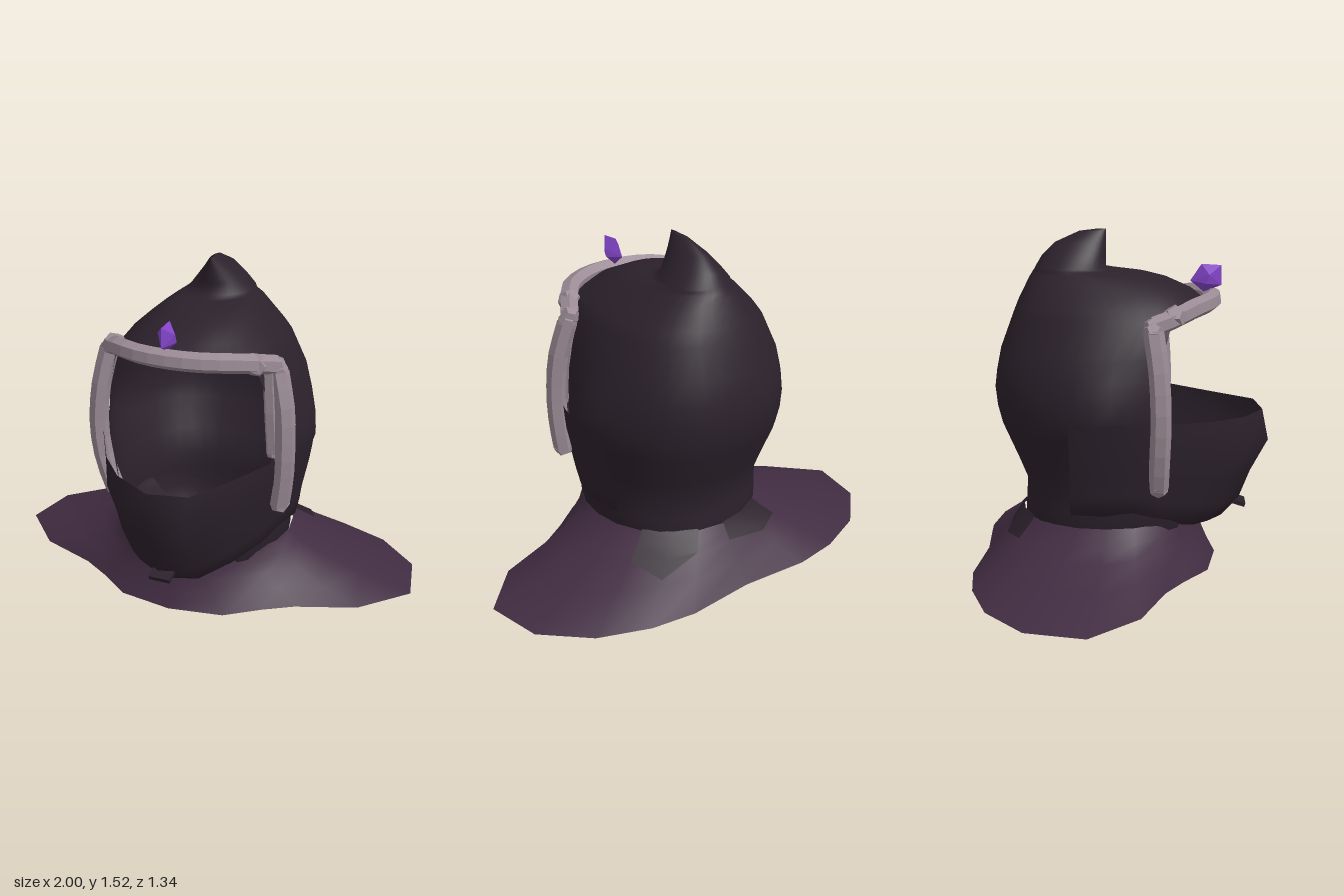
import * as THREE from 'three';
import { ConvexGeometry } from 'three/addons/geometries/ConvexGeometry.js';

const material = (name, color) => {
  const m = new THREE.MeshStandardMaterial({ color, side: THREE.DoubleSide });
  m.name = name;
  return m;
};

// Skin a surface over rows of [x, y, z] points; skip(row, column) leaves holes.
function loft(rows, closed, skip = () => false) {
  const n = rows[0].length, index = [];
  for (let r = 0; r < rows.length - 1; r++) {
    for (let c = 0; c < (closed ? n : n - 1); c++) {
      if (skip(r, c)) continue;
      const a = r * n + c, b = r * n + (c + 1) % n;
      index.push(a, a + n, b, b, a + n, b + n);
    }
  }
  const g = new THREE.BufferGeometry();
  g.setAttribute('position', new THREE.Float32BufferAttribute(rows.flat(2), 3));
  g.setIndex(index);
  g.computeVertexNormals();
  return g;
}

const faceted = (g) => {
  const f = g.index ? g.toNonIndexed() : g;
  f.computeVertexNormals();
  return f;
};

export function createModel() {
  const model = new THREE.Group();
  const cloth = material('dark cloth', 0x2b212b);
  const purple = material('purple cloth', 0x412c41);
  const metal = material('dull metal', 0x9a8a94);
  const crystal = material('violet crystal', 0x8344c8);
  const add = (name, geometry, mat, parent = model) => {
    const mesh = new THREE.Mesh(geometry, mat);
    mesh.name = name;
    parent.add(mesh);
    return mesh;
  };

  // Hood: rings of [y, front z, back z, half width], with a folded peak
  const rings = [
    [1.52, -0.08, -0.12, 0.004], [1.51, -0.08, -0.2, 0.018], [1.46, -0.08, -0.31, 0.06],
    [1.4, -0.08, -0.37, 0.11], [1.35, -0.08, -0.4, 0.15], [1.34, -0.02, -0.405, 0.16],
    [1.325, 0.11, -0.415, 0.185], [1.3, 0.2, -0.43, 0.22], [1.25, 0.31, -0.455, 0.28],
    [1.2, 0.37, -0.48, 0.335], [1.15, 0.38, -0.5, 0.375], [1.0, 0.34, -0.555, 0.43],
    [0.9, 0.34, -0.575, 0.45], [0.82, 0.34, -0.585, 0.455], [0.73, 0.34, -0.575, 0.455],
    [0.65, 0.34, -0.555, 0.445], [0.5, 0.33, -0.49, 0.415], [0.39, 0.32, -0.445, 0.4],
    [0.3, 0.31, -0.45, 0.395], [0.2, 0.3, -0.455, 0.39], [0.12, 0.27, -0.44, 0.35],
  ];
  const columns = 36;
  const hoodRows = rings.map(([y, zf, zb, hw]) =>
    Array.from({ length: columns }, (_, i) => {
      const a = (i / columns) * Math.PI * 2, sin = Math.sin(a), cos = Math.cos(a);
      const z = (zf + zb) / 2 + (zf - zb) / 2 * cos;
      // Fuller cheeks in front, ears pushing the cloth outward
      const power = y > 1.3 ? 1 : cos > 0 && y < 1.18 ? 0.55 : 0.8;
      const ear = Math.abs(sin) > 0.5 ? 0.05 * Math.exp(-(((y - 0.75) / 0.14) ** 2) - ((z + 0.1) / 0.15) ** 2) : 0;
      // The brow edge rises toward the front
      const lift = y === 1.15 ? 0.2 * Math.max(0, z - 0.15) : 0;
      return [Math.sign(sin) * (hw * Math.abs(sin) ** power + ear), y + lift, z];
    }));
  const faceOpening = (r, c) => rings[r][0] < 1.16 && rings[r][0] > 0.35 && (c < 5 || c >= columns - 5);
  add('hood', loft(hoodRows, true, faceOpening), cloth);

  // Mask over the lower face: plan outline swept down to the chin
  const plan = [
    [-0.475, -0.22], [-0.505, -0.08], [-0.47, 0.08], [-0.41, 0.22], [-0.3, 0.42], [-0.18, 0.56], [0, 0.66],
    [0.18, 0.63], [0.3, 0.43], [0.41, 0.22], [0.47, 0.08], [0.505, -0.08], [0.475, -0.22],
  ];
  // [front y, side y, tip z, width scale]
  const maskLevels = [
    [0.695, 0.735, 0.64, 1], [0.55, 0.62, 0.67, 0.97], [0.4, 0.5, 0.59, 0.92],
    [0.27, 0.4, 0.54, 0.88], [0.18, 0.33, 0.46, 0.86], [0.145, 0.27, 0.35, 0.72],
  ];
  const maskRows = maskLevels.map(([yf, ys, tip, w]) => plan.map(([x, z], i) => {
    const d = Math.abs(i - 6);
    const s = Math.min(1, Math.max(0.15 * d, (d - 1) / 3));
    return [x * w, yf + (ys - yf) * s, z > 0 ? z * tip / 0.66 : z];
  }));
  add('mask', loft(maskRows, false), cloth);
  // Closed underside of the chin
  const chinEdge = maskRows[5];
  add('chinUnderside', loft([chinEdge, chinEdge.map(([x, , z]) => [x * 0.3, 0.14, z * 0.3])], false), cloth);
  const tab = add('chinTab', new THREE.BoxGeometry(0.1, 0.02, 0.08), cloth);
  tab.position.set(0.02, 0.25, 0.53);
  tab.rotation.x = 0.3;

  // Shoulder cape: ragged rim rising to a round collar
  const half = [
    [0, -0.645], [0.32, -0.67], [0.53, -0.64], [0.76, -0.55], [0.95, -0.37], [1, -0.11],
    [0.8, 0.1], [0.53, 0.2], [0.4, 0.28], [0.25, 0.39], [0, 0.43],
  ];
  const rim = [...half, ...half.slice(1, -1).reverse().map(([x, z]) => [-x, z])];
  const slope = [[0, 0], [0.42, 0.07], [0.73, 0.135], [0.9, 0.19], [1, 0.245]];
  const capePoint = (i, t, y) => {
    const [x, z] = rim[i], a = (i / rim.length) * Math.PI * 2;
    const cx = 0.41 * Math.sin(a), cz = -0.065 - 0.405 * Math.cos(a);
    // The back slopes straight down
    const back = Math.max(0, Math.cos(a));
    return [x + (cx - x) * t, y + (0.235 * t - y) * 0.8 * back, z + (cz - z) * t];
  };
  add('cape', loft(slope.map(([t, y]) => rim.map((_, i) => capePoint(i, t, y))), true), purple);

  // Loose hood hems lying on the back of the cape
  for (const [center, reach] of [[2, 0.5], [19, 0.65]]) {
    const hem = [[1, 0.245], [0.9, 0.19], [0.73, 0.135], [reach, 0.135 - (0.73 - reach) * 0.21]];
    const rows = hem.map(([t, y], r) => [-1, 0, 1].map((k) => {
      const [ht, hy] = r === 3 && k !== 0 ? hem[2] : [t, y];
      const p = capePoint((center + k) % rim.length, ht, hy);
      return [p[0], p[1] + 0.008, p[2]];
    }));
    add('hoodHem', loft(rows, false), cloth);
  }

  // Metal circlet: faceted bars with knuckles at the corners
  const circlet = new THREE.Group();
  circlet.name = 'circlet';
  model.add(circlet);
  const bar = (name, points, segments, radius) => {
    const curve = new THREE.CatmullRomCurve3(points.map((p) => new THREE.Vector3(...p)));
    add(name, faceted(new THREE.TubeGeometry(curve, segments, radius, 6)), metal, circlet);
    for (const p of [points[0], points[points.length - 1]]) {
      const cap = add(name + 'End', faceted(new THREE.DodecahedronGeometry(radius)), metal, circlet);
      cap.position.set(...p);
    }
  };
  bar('browBand', [
    [-0.38, 1.14, 0.14], [-0.34, 1.165, 0.22], [-0.27, 1.2, 0.31], [-0.14, 1.21, 0.38], [0, 1.212, 0.4],
    [0.14, 1.21, 0.38], [0.27, 1.2, 0.31], [0.34, 1.175, 0.22], [0.39, 1.15, 0.14],
  ], 14, 0.044);
  bar('rightCheekBar', [[-0.4, 1.12, 0.14], [-0.435, 0.95, 0.165], [-0.45, 0.75, 0.175], [-0.43, 0.57, 0.17], [-0.385, 0.43, 0.165]], 8, 0.045);
  bar('leftCheekBar', [[0.405, 1.12, 0.14], [0.445, 0.95, 0.165], [0.455, 0.75, 0.175], [0.45, 0.62, 0.17], [0.435, 0.5, 0.165]], 8, 0.045);
  bar('leftCheekBarLining', [[0.37, 1.13, 0.15], [0.385, 0.95, 0.165], [0.4, 0.75, 0.165]], 4, 0.035);
  for (const side of [-1, 1]) {
    const knuckle = add('browKnuckle', faceted(new THREE.DodecahedronGeometry(0.054)), metal, circlet);
    knuckle.position.set(side * 0.33, 1.175, 0.23);
  }

  // Cut crystal standing on the brow
  const outline = [[1.36, 0.44], [1.365, 0.35], [1.29, 0.3], [1.24, 0.36], [1.27, 0.44]];
  const points = outline.map(([y, z]) => new THREE.Vector3(-0.01, y, z));
  for (const x of [-0.05, 0.03]) {
    points.push(new THREE.Vector3(x, 1.32, 0.385), new THREE.Vector3(x, 1.28, 0.37));
  }
  add('crystal', new ConvexGeometry(points), crystal);

  return model;
}
